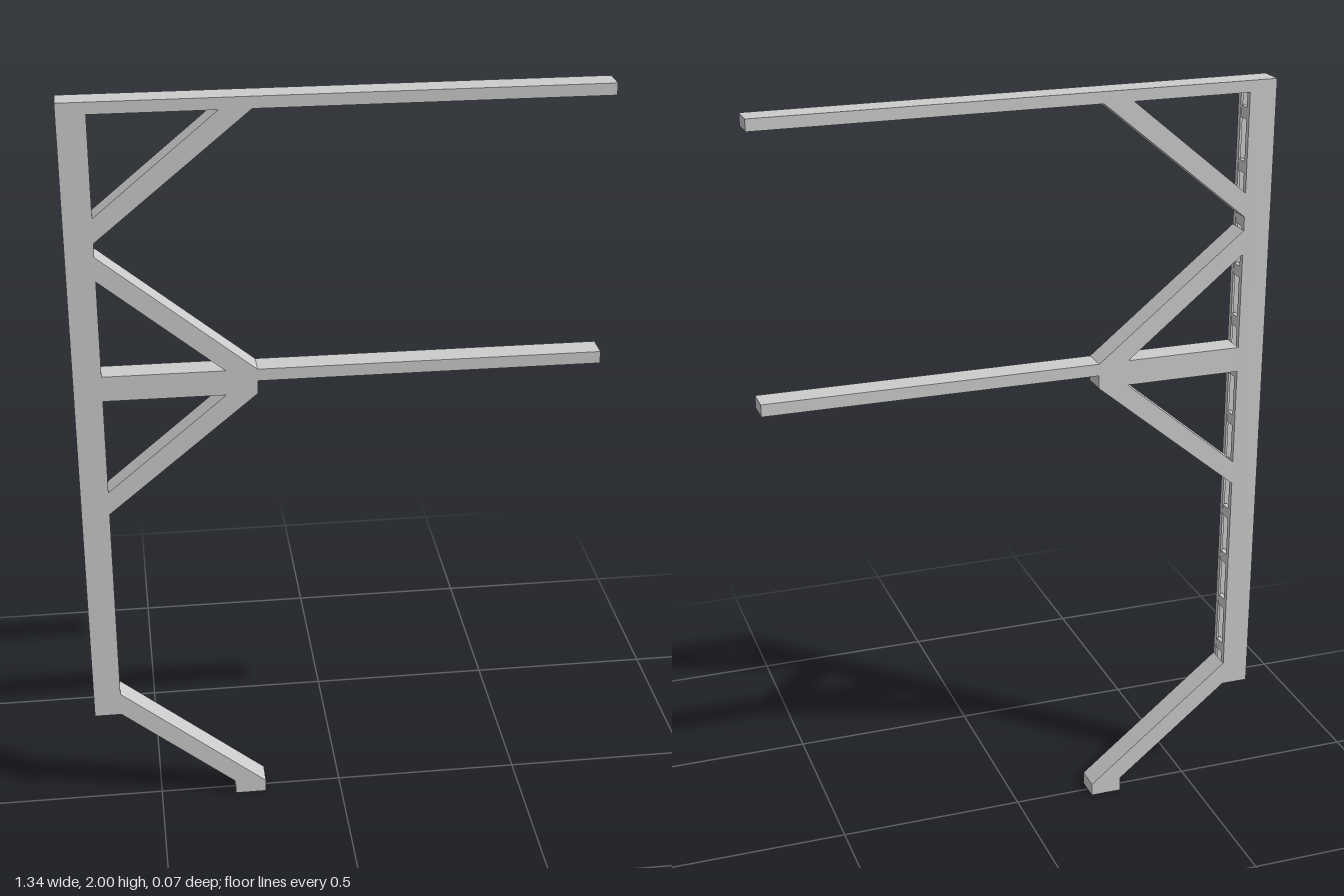
import * as THREE from 'three';

const D = 0.067; // depth of every member

export function createModel() {
  const group = new THREE.Group();
  const mat = new THREE.MeshStandardMaterial({ color: 0xcccccc, flatShading: true });

  const add = (name, geo) => {
    const mesh = new THREE.Mesh(geo, mat);
    mesh.name = name;
    group.add(mesh);
    return mesh;
  };
  const outline = (pts) => new THREE.Shape(pts.map(([x, y]) => new THREE.Vector2(x, y)));
  // Flat front outline given the common depth
  const plate = (name, pts) => add(name,
    new THREE.ExtrudeGeometry(outline(pts), { depth: D, bevelEnabled: false }).translate(0, 0, -D / 2));
  // Box given by its front-view limits
  const bar = (name, x0, x1, y0, y1, d = D) => add(name,
    new THREE.BoxGeometry(x1 - x0, y1 - y0, d).translate((x0 + x1) / 2, (y0 + y1) / 2, 0));

  // Upright: lipped channel open towards +x
  const xb = -0.672, xf = -0.6, t = 0.006, h = D / 2, lip = 0.018;
  const half = [[xb, h], [xf, h], [xf, lip], [xf - t, lip], [xf - t, h - t], [xb + t, h - t]];
  const section = [...half, ...half.map(([x, y]) => [x, -y]).reverse()];
  add('postChannel', new THREE.ExtrudeGeometry(outline(section), { depth: 1.68, bevelEnabled: false })
    .rotateX(-Math.PI / 2).translate(0, 0.29, 0));
  bar('postBottomCap', xb, xf, 0.29, 0.298);

  // Battens across the channel opening
  for (let i = 0; i < 12; i++) {
    const y = 0.395 + i * 0.138;
    bar('postBatten', xf - 0.012, xf - 0.001, y - 0.015, y + 0.015, 2 * lip + 0.004);
  }

  // Horizontal arms
  bar('topArm', xb, 0.672, 1.97, 2);
  bar('middleArm', -0.21, 0.672, 1.265, 1.297);
  bar('middleArmRoot', xf, -0.21, 1.23, 1.297);

  // Diagonal braces: post height, arm height, direction of the slope
  const brace = (name, yPost, yArm, s) => {
    const pts = [[xf, yPost], [-0.21, yArm], [-0.29, yArm], [xf, yPost + s * 0.063]];
    plate(name, pts);
  };
  brace('topBrace', 1.65, 1.97, 1);
  brace('middleUpperBrace', 1.614, 1.297, -1);
  brace('middleLowerBrace', 0.908, 1.23, 1);

  // Sloping leg with its flat foot
  plate('footLeg', [[xf, 0.29], [-0.295, 0.04], [-0.295, 0], [-0.21, 0], [-0.21, 0.035], [xf, 0.355]]);

  return group;
}
